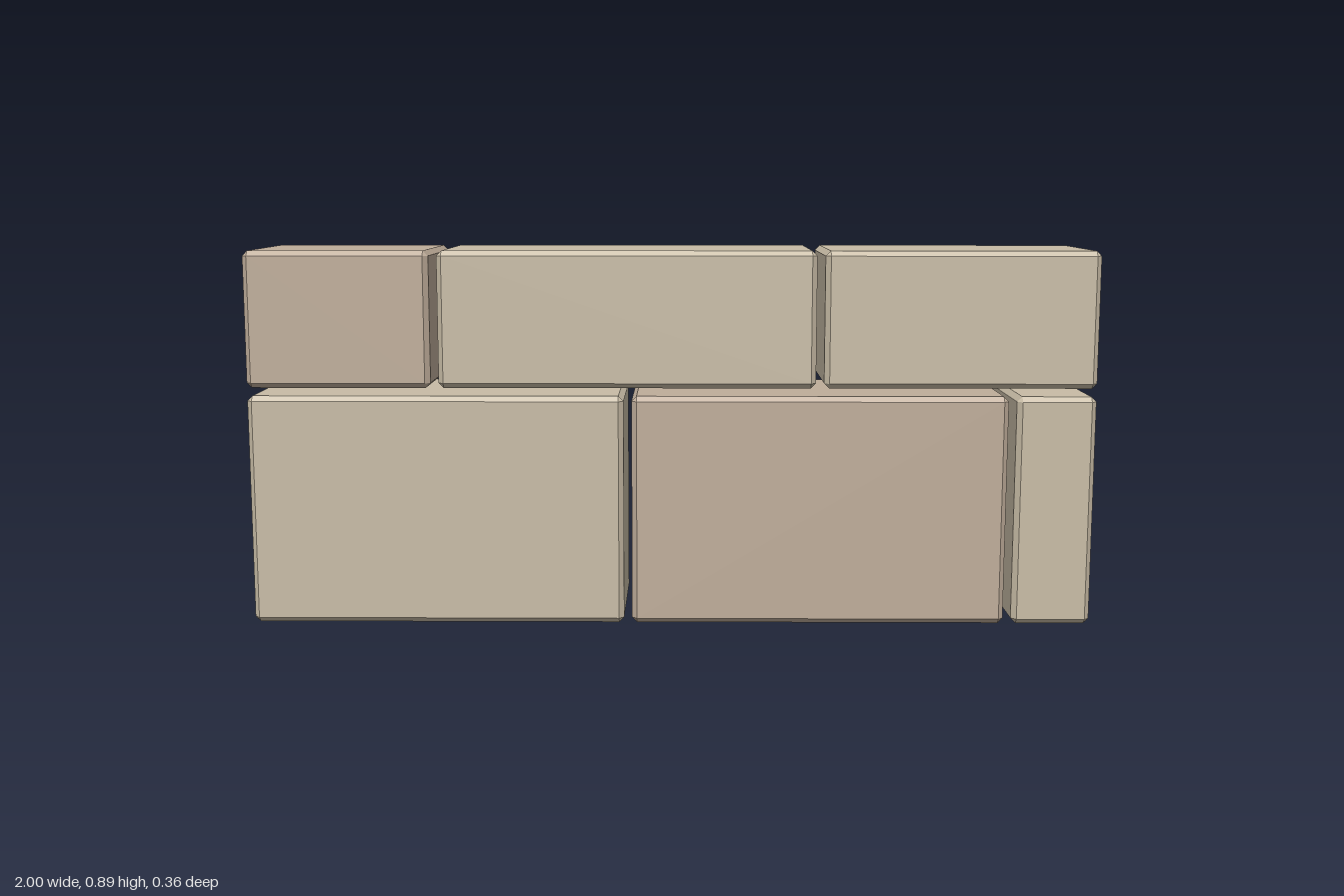
import * as THREE from 'three';
import { ConvexGeometry } from 'three/addons/geometries/ConvexGeometry.js';

const DEPTH = 0.36;
const CHAMFER = 0.012;

// Box with all edges cut at 45 degrees: three inset points per corner
function chamferedBox(w, h, d, c) {
  const points = [];
  for (const sx of [-1, 1]) for (const sy of [-1, 1]) for (const sz of [-1, 1]) {
    const x = w / 2, y = h / 2, z = d / 2;
    points.push(
      new THREE.Vector3(sx * x, sy * (y - c), sz * (z - c)),
      new THREE.Vector3(sx * (x - c), sy * y, sz * (z - c)),
      new THREE.Vector3(sx * (x - c), sy * (y - c), sz * z)
    );
  }
  return new ConvexGeometry(points);
}

export function createModel() {
  const wall = new THREE.Group();
  wall.name = 'stoneWall';

  const sand = new THREE.MeshStandardMaterial({ color: 0xc8bca6, flatShading: true });
  const rose = new THREE.MeshStandardMaterial({ color: 0xbfad9a, flatShading: true });

  // Two courses of blocks with open joints: [left edge, right edge, material]
  const courses = [
    { name: 'lowerCourse', y0: 0, y1: 0.547,
      blocks: [[-1, -0.112, sand], [-0.093, 0.795, rose], [0.814, 1, sand]] },
    { name: 'upperCourse', y0: 0.566, y1: 0.888,
      blocks: [[-1, -0.566, rose], [-0.547, 0.341, sand], [0.36, 1, sand]] },
  ];

  for (const { name, y0, y1, blocks } of courses) {
    const course = new THREE.Group();
    course.name = name;
    blocks.forEach(([x0, x1, material], i) => {
      const block = new THREE.Mesh(chamferedBox(x1 - x0, y1 - y0, DEPTH, CHAMFER), material);
      block.name = `${name}Block${i + 1}`;
      block.position.set((x0 + x1) / 2, (y0 + y1) / 2, 0);
      course.add(block);
    });
    wall.add(course);
  }
  return wall;
}
